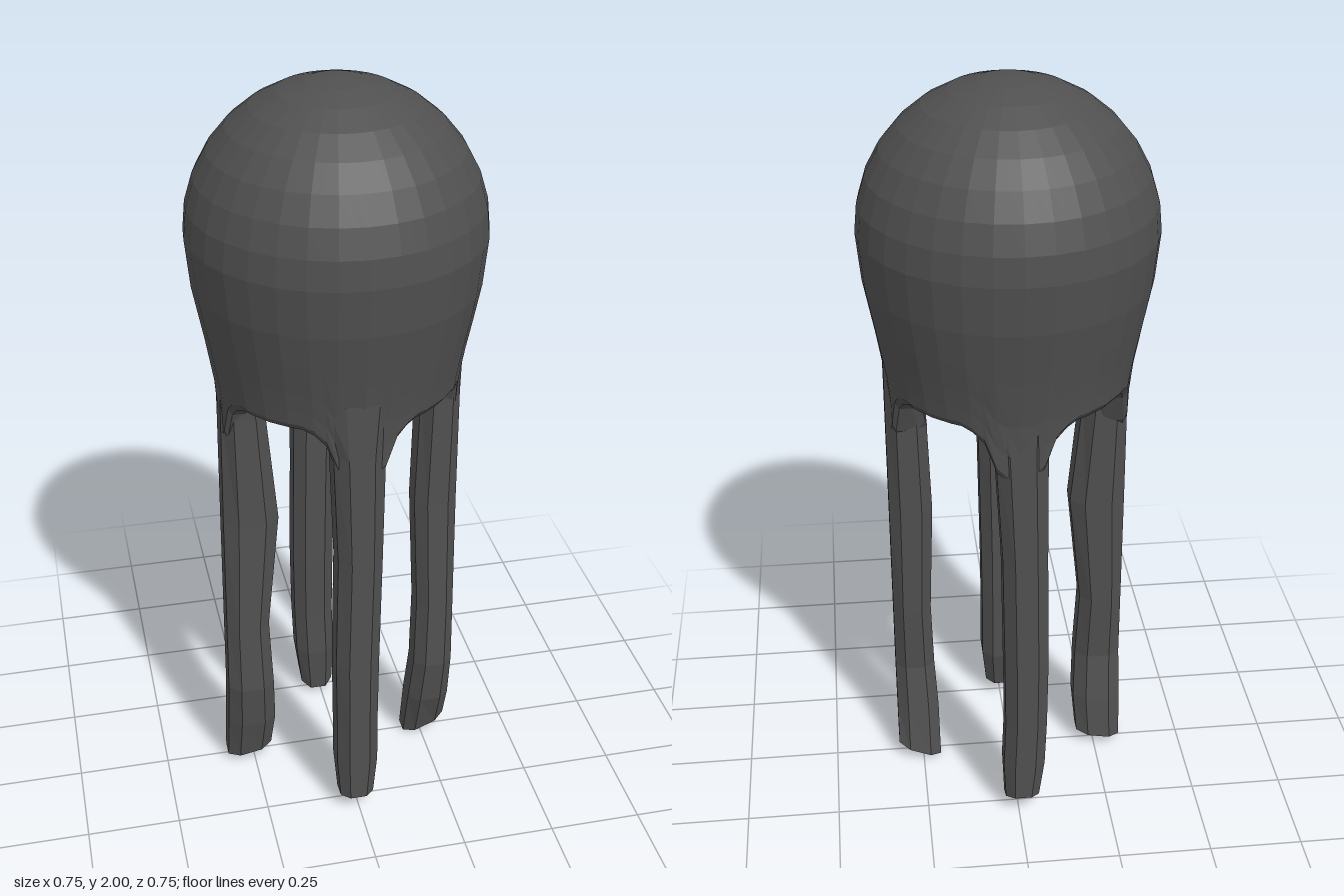
import * as THREE from 'three';

const material = new THREE.MeshStandardMaterial({ color: 0x505050, flatShading: true, side: THREE.DoubleSide });
const { lerp, clamp } = THREE.MathUtils;

// Skin a list of closed rings (top to bottom); optionally close the last ring.
function skin(rings, name, cap = false) {
  const n = rings[0].length, index = [];
  const points = rings.flat();
  for (let i = 0; i < rings.length - 1; i++) {
    for (let j = 0; j < n; j++) {
      const a = i * n + j, b = i * n + (j + 1) % n;
      index.push(a, b, a + n, b, b + n, a + n);
    }
  }
  if (cap) {
    const last = (rings.length - 1) * n;
    const centre = new THREE.Vector3();
    rings.at(-1).forEach(p => centre.addScaledVector(p, 1 / n));
    points.push(centre);
    for (let j = 0; j < n; j++) index.push(last + j, last + (j + 1) % n, points.length - 1);
  }
  const geometry = new THREE.BufferGeometry().setFromPoints(points);
  geometry.setIndex(index);
  geometry.computeVertexNormals();
  const mesh = new THREE.Mesh(geometry, material);
  mesh.name = name;
  return mesh;
}

// Radius of the wall below the dome: a gentle taper from 0.375 to 0.31.
const wallRadius = y => lerp(0.375, 0.31, THREE.MathUtils.smoothstep(1.63 - y, 0, 0.48));

// How far along the arch an angle lies: 0 at a leg, 1 in the gap between legs.
function archAt(angle) {
  const q = Math.PI / 2;
  const d = Math.abs(angle - Math.round(angle / q) * q);
  const u = clamp((d - 0.19) / 0.34, 0, 1);
  return Math.sqrt(1 - (1 - u) ** 2);
}

// Domed bell with a scalloped rim and a hollow underside.
function makeBell() {
  const n = 64, rings = [];
  const ring = rule => rings.push(Array.from({ length: n }, (_, j) => {
    const angle = j / n * Math.PI * 2, arch = archAt(angle);
    const [r, y] = rule(arch, 1.09 + 0.15 * arch);
    const k = r * (j % 2 ? Math.cos(Math.PI / 32) : 1); // keeps 32 flat facets
    return new THREE.Vector3(Math.cos(angle) * k, y, Math.sin(angle) * k);
  }));
  // outer dome, then the wall down to the rim
  for (let i = 0; i <= 8; i++) {
    const a = i * Math.PI / 16;
    ring(() => [0.375 * Math.sin(a), 1.625 + 0.375 * Math.cos(a)]);
  }
  for (const t of [0, 0.35, 0.65, 0.85, 1]) {
    ring((arch, rim) => {
      const y = lerp(1.5, rim, t);
      return [wallRadius(y), y];
    });
  }
  // rounded rim, thicker at the legs
  const inner = arch => 0.215 + 0.04 * arch;
  ring((arch, rim) => [0.3, rim - 0.02]);
  ring((arch, rim) => [inner(arch) + 0.02, rim - 0.025]);
  ring((arch, rim) => [inner(arch), rim]);
  ring((arch, rim) => [inner(arch) + 0.01, rim + 0.08]);
  // hollow inside
  ring(() => [0.28, 1.38]);
  for (let i = 0; i <= 5; i++) {
    const a = i * Math.PI / 10;
    ring(() => [0.3 * Math.cos(a), 1.6 + 0.3 * Math.sin(a)]);
  }
  return skin(rings, 'bell');
}

// Heights and half widths shared by the legs; the last row is the foot.
const heights = [1.3, 1.15, 0.83, 0.5, 0.3, 0.16];
const halfWidths = [0.085, 0.066, 0.058, 0.058, 0.056, 0.056, 0.046];

// inner: distance of the inner edge from the axis; side: sideways drift;
// outer: top and bottom distance of the outer edge; foot: height and slant of the cut end.
const legs = [
  { name: 'leftLeg', axis: 'x', sign: 1, outer: [0.321, 0.319], foot: [0.025, 0.025],
    inner: [0.24, 0.216, 0.205, 0.216, 0.21, 0.202, 0.2],
    side: [0.01, 0.01, 0.02, 0.035, 0.045, 0.025, -0.008] },
  { name: 'rightLeg', axis: 'x', sign: -1, outer: [0.308, 0.326], foot: [0.03, -0.012],
    inner: [0.24, 0.195, 0.167, 0.203, 0.195, 0.19, 0.2],
    side: [0, 0.01, 0.018, 0.035, 0.045, 0.025, 0.005] },
  { name: 'frontLeg', axis: 'z', sign: 1, outer: [0.325, 0.318], foot: [0.045, 0.005],
    inner: [0.24, 0.207, 0.2, 0.203, 0.2, 0.2, 0.225],
    side: [-0.005, -0.005, 0, -0.005, -0.004, -0.003, -0.005] },
  { name: 'backLeg', axis: 'z', sign: -1, outer: [0.31, 0.316], foot: [0.04, 0.022],
    inner: [0.24, 0.193, 0.196, 0.197, 0.2, 0.2, 0.212],
    side: [0, -0.005, -0.015, -0.02, -0.02, -0.015, -0.01] },
];

// Leg: eight-sided softened box sections lofted downwards to a slanted foot.
function makeLeg({ name, axis, sign, outer, foot, inner, side }) {
  const turn = (axis === 'z') !== (sign < 0) ? -1 : 1;
  const soften = v => Math.sign(v) * (Math.abs(v) / Math.cos(Math.PI / 8)) ** 0.8;
  const rings = [...heights, foot[0]].map((y, i) => Array.from({ length: 8 }, (_, j) => {
    const a = turn * (j + 0.5) * Math.PI / 4;
    const u = soften(Math.cos(a)), v = soften(Math.sin(a));
    const r = sign * lerp(inner[i], lerp(outer[1], outer[0], y / 1.3), (u + 1) / 2);
    const t = side[i] + v * halfWidths[i];
    const h = i === heights.length ? y + u * foot[1] : y;
    return axis === 'x' ? new THREE.Vector3(r, h, t) : new THREE.Vector3(t, h, r);
  }));
  return skin(rings, name, true);
}

export function createModel() {
  const group = new THREE.Group();
  group.name = 'jellyfish';
  group.add(makeBell(), ...legs.map(makeLeg));
  return group;
}
